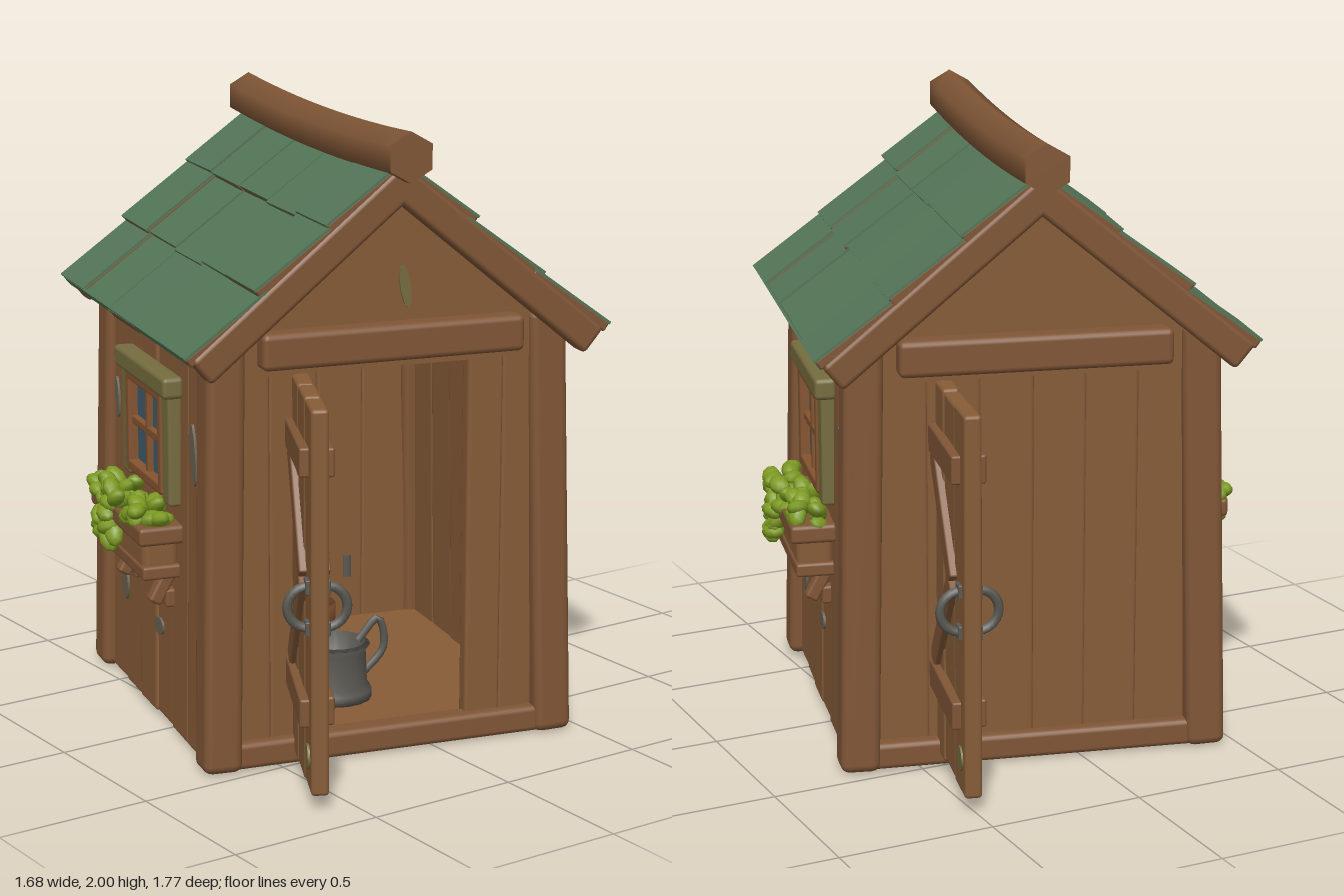
import * as THREE from 'three';
import { RoundedBoxGeometry } from 'three/addons/geometries/RoundedBoxGeometry.js';

const mat = (name, color, side = THREE.FrontSide) => {
  const m = new THREE.MeshStandardMaterial({ color, side });
  m.name = name;
  return m;
};
const wood = mat('plank wood', 0x875c38);
const beam = mat('beam wood', 0x805636);
const green = mat('roof green', 0x547658);
const metal = mat('dark metal', 0x5a5953, THREE.DoubleSide);
const glass = mat('window glass', 0x405c6d);
const olive = mat('faded olive paint', 0x766d3f);
const leaf = mat('leaf green', 0x7c9a22);
const worn = mat('worn grey patch', 0x6a6152);
const clay = mat('clay brown', 0x855430, THREE.DoubleSide);

let seed = 7;
const rnd = () => (seed = (seed * 16807) % 2147483647) / 2147483647;
const jit = (a) => (rnd() * 2 - 1) * a;

function add(parent, name, geo, material, x = 0, y = 0, z = 0, rx = 0, ry = 0, rz = 0) {
  const m = new THREE.Mesh(geo, material);
  m.name = name;
  m.position.set(x, y, z);
  m.rotation.set(rx, ry, rz);
  parent.add(m);
  return m;
}
function box(parent, name, material, w, h, d, x, y, z, rx = 0, ry = 0, rz = 0) {
  const r = Math.min(w, h, d) * 0.22;
  return add(parent, name, new RoundedBoxGeometry(w, h, d, 2, r), material, x, y, z, rx, ry, rz);
}
function group(parent, name, x = 0, y = 0, z = 0, ry = 0) {
  const g = new THREE.Group();
  g.name = name;
  g.position.set(x, y, z);
  g.rotation.y = ry;
  parent.add(g);
  return g;
}
// bar between two points of a plane parallel to xy
function bar(parent, name, material, a, b, w, d, z) {
  const dx = b[0] - a[0], dy = b[1] - a[1];
  box(parent, name, material, Math.hypot(dx, dy), w, d, (a[0] + b[0]) / 2, (a[1] + b[1]) / 2, z, 0, 0, Math.atan2(dy, dx));
}
// row of vertical planks facing +z
function planks(parent, name, x0, x1, n, y0, y1, z, lean = 0) {
  const w = (x1 - x0) / n;
  for (let i = 0; i < n; i++)
    box(parent, name, wood, w + 0.004, y1 - y0, 0.055, x0 + (i + 0.5) * w, (y0 + y1) / 2, z + jit(0.005), lean, jit(0.015));
}
function patch(parent, material, x, y, z, w, h) {
  const g = new THREE.CylinderGeometry(0.5, 0.5, 0.008, 9).rotateX(Math.PI / 2);
  add(parent, 'paintPatch', g, material, x, y, z, 0, 0, 0.15).scale.set(w, h, 1);
}

// door hinged at its own origin, extending along +x
function door(parent, name, x, z, ry) {
  const g = group(parent, name, x, 0, z, ry);
  for (let i = 0; i < 3; i++)
    box(g, 'doorPlank', wood, 0.156, 1.2 + jit(0.012), 0.055, 0.075 + i * 0.153, 0.648, jit(0.004));
  for (const s of [-1, 1]) {
    for (const y of [0.3, 1.07]) box(g, 'doorBatten', beam, 0.38, 0.09, 0.035, 0.21, y, s * 0.036, 0, 0, jit(0.04));
    bar(g, 'doorBrace', beam, [0.05, 1.03], [0.32, 0.7], 0.07, 0.028, s * 0.034);
    bar(g, 'doorBrace', beam, [0.05, 0.35], [0.32, 0.7], 0.07, 0.028, s * 0.034);
    const h = group(g, 'handle', 0.4, 0.63, s * 0.025, s > 0 ? 0 : Math.PI);
    const arc = new THREE.TorusGeometry(0.065, 0.015, 6, 12, Math.PI).rotateZ(-Math.PI / 2).rotateY(-Math.PI / 2);
    add(h, 'handleRing', arc, metal);
    for (const y of [-0.065, 0.065]) box(h, 'handleMount', metal, 0.045, 0.045, 0.016, 0, y, 0.005);
  }
  patch(g, olive, 0.4, 0.16, 0.029, 0.07, 0.08);
  for (const y of [0.27, 1.07]) add(g, 'hinge', new THREE.CylinderGeometry(0.018, 0.018, 0.08, 8), metal, -0.005, y, 0);
}

// side wall with window, flower box and shelf, facing +z
function windowWall(parent, name, ry) {
  const g = group(parent, name, 0, 0, 0, ry);
  planks(g, 'sidePlank', -0.5, 0.5, 6, 0.01, 1.42, 0.548, -0.015);
  add(g, 'glassPane', new THREE.BoxGeometry(0.34, 0.3, 0.008), glass, 0, 0.965, 0.586);
  for (const s of [-1, 1]) {
    box(g, 'windowTrim', olive, 0.08, 0.37, 0.05, s * 0.215, 0.96, 0.59);
    box(g, 'windowFrame', clay, 0.035, 0.33, 0.05, s * 0.172, 0.965, 0.597);
    box(g, 'windowFrame', clay, 0.36, 0.035, 0.05, 0, 0.965 + s * 0.152, 0.597);
    box(g, 'shelfBracket', beam, 0.045, 0.13, 0.045, s * 0.17, 0.5, 0.615, -0.5);
    box(g, 'shelfBracketFoot', beam, 0.045, 0.06, 0.04, s * 0.17, 0.455, 0.59);
  }
  box(g, 'muntin', clay, 0.028, 0.3, 0.03, 0, 0.965, 0.594);
  box(g, 'muntin', clay, 0.33, 0.028, 0.03, 0, 0.965, 0.594);
  box(g, 'windowHead', olive, 0.54, 0.07, 0.07, 0, 1.16, 0.6);
  box(g, 'flowerBoxRim', beam, 0.56, 0.06, 0.15, 0, 0.69, 0.645);
  box(g, 'flowerBox', wood, 0.46, 0.12, 0.12, 0, 0.62, 0.635);
  box(g, 'flowerBoxShelf', beam, 0.49, 0.045, 0.13, 0, 0.56, 0.635);
  // chunky leaves along the box and a trailing tuft
  const lg = new THREE.SphereGeometry(1, 8, 6);
  for (let i = 0; i < 54; i++) {
    const tuft = i >= 42;
    const x = tuft ? -0.07 + jit(0.065) : -0.255 + 0.51 * (i / 41);
    const y = tuft ? 0.7 - (i - 42) * 0.009 : 0.738 + jit(0.032);
    const z = tuft ? 0.725 + jit(0.012) : 0.668 + jit(0.055);
    add(g, 'leaf', lg, leaf, x, y, z, jit(0.5), jit(0.6), jit(1)).scale.set(0.045, 0.025, 0.032);
  }
  for (const [x, y, w, h] of [[-0.42, 0.98, 0.04, 0.14], [-0.32, 0.92, 0.05, 0.07], [0.4, 0.98, 0.05, 0.2], [-0.33, 0.36, 0.07, 0.12], [0.05, 0.32, 0.09, 0.06]])
    patch(g, worn, x, y, 0.583 - (y - 0.7) * 0.015, w, h);
}

// gable wall top, lintel and sill, facing +z
function gable(parent, name, ry) {
  const g = group(parent, name, 0, 0, 0, ry);
  const s = new THREE.Shape([[-0.54, 1.25], [0.54, 1.25], [0.54, 1.39], [0, 1.84], [-0.54, 1.39]].map((p) => new THREE.Vector2(...p)));
  add(g, 'gablePanel', new THREE.ExtrudeGeometry(s, { depth: 0.06, bevelEnabled: false }), wood, 0, 0, 0.51);
  box(g, 'lintel', beam, 0.86, 0.115, 0.09, 0, 1.335, 0.59);
  box(g, 'sillBeam', beam, 1.1, 0.085, 0.08, 0, 0.05, 0.565);
  return g;
}

// one slope of shingles, descending towards +x
function roofSlope(parent, name, ry) {
  const g = group(group(parent, name, 0, 1.89, 0, ry), 'slope');
  g.rotation.z = -0.69;
  box(g, 'roofDeck', beam, 0.85, 0.03, 1.33, 0.425, -0.053, 0);
  for (const s of [-1, 1]) box(g, 'bargeBoard', beam, 0.87, 0.1, 0.075, 0.435, -0.044, s * 0.65);
  for (let i = 0; i < 5; i++) {
    const z = (i - 2) * 0.273;
    const sag = 0.016 * (1 - (z / 0.55) ** 2);
    for (let k = 0; k < 3; k++) {
      // wooden shingle with a painted top face
      const t = group(g, 'shingle', 0.143 + k * 0.287 + jit(0.006), 0.002 - sag + jit(0.004), z);
      t.rotation.set(jit(0.02), jit(0.008), 0.06);
      box(t, 'shingleBoard', beam, 0.32, 0.036, 0.271, 0, 0, 0);
      add(t, 'shinglePaint', new THREE.BoxGeometry(0.322, 0.009, 0.27), green, 0, 0.0165, 0);
    }
  }
  // painted lower edge of the eave
  add(g, 'eavePaint', new THREE.BoxGeometry(0.009, 0.035, 1.28), green, 0.875, 0.01, 0);
}

function pot(parent, x, y, z, r, h) {
  const p = [[0, 0], [r * 0.75, 0], [r * 0.9, h * 0.75], [r * 1.05, h * 0.75], [r * 1.05, h], [r * 0.85, h], [r * 0.7, h * 0.3], [0, h * 0.3]];
  add(parent, 'pot', new THREE.LatheGeometry(p.map((q) => new THREE.Vector2(...q)), 14), clay, x, y, z);
}

export function createModel() {
  const root = new THREE.Group();
  root.name = 'gardenShed';
  const shed = group(root, 'shed', 0, 0, 0, -0.245);

  // base, corner posts and walls
  box(shed, 'floor', wood, 1.13, 0.08, 1.13, 0, 0.042, 0);
  for (const sx of [-1, 1])
    for (const sz of [-1, 1])
      box(shed, 'cornerPost', beam, 0.125, 1.39, 0.125, sx * 0.545, 0.7, sz * 0.545, -sz * 0.022, 0, sx * 0.022);
  windowWall(shed, 'rightWall', Math.PI / 2);
  windowWall(shed, 'leftWall', -Math.PI / 2);
  patch(gable(shed, 'frontGable', 0), olive, 0.05, 1.5, 0.573, 0.035, 0.14);
  gable(shed, 'backGable', Math.PI);
  planks(shed, 'frontPlank', -0.5, -0.28, 2, 0.06, 1.33, 0.54);
  planks(shed, 'frontPlank', 0.27, 0.5, 2, 0.06, 1.33, 0.54);
  planks(shed, 'backPlank', -0.5, 0.5, 6, 0.06, 1.33, -0.54);

  // doors standing open
  door(shed, 'frontDoor', -0.28, 0.55, -(Math.PI / 2 + 0.235));
  door(shed, 'backDoor', 0.277, -0.52, Math.PI / 2);

  // roof
  roofSlope(shed, 'rightRoof', 0);
  roofSlope(shed, 'leftRoof', Math.PI);
  const ridge = new THREE.CylinderGeometry(0.078, 0.078, 1.48, 6, 12).rotateX(Math.PI / 2);
  const p = ridge.attributes.position;
  for (let i = 0; i < p.count; i++) p.setY(i, p.getY(i) - 0.022 * (1 - (p.getZ(i) / 0.74) ** 2));
  ridge.computeVertexNormals();
  add(shed, 'ridgeBeam', ridge, beam, 0, 1.922, 0);

  // shelves with pots
  for (const y of [0.89, 0.44]) {
    box(shed, 'shelf', beam, 0.36, 0.05, 0.22, -0.34, y, -0.4);
    for (const x of [-0.42, -0.21]) box(shed, 'shelfSupport', beam, 0.035, 0.13, 0.05, x, y - 0.08, -0.46, -0.4);
    pot(shed, -0.34, y + 0.022, -0.41, 0.078, 0.085);
  }

  // watering can
  const can = group(shed, 'wateringCan', -0.06, 0.085, 0.26);
  const body = [[0, 0], [0.12, 0], [0.12, 0.03], [0.105, 0.05], [0.1, 0.16], [0.115, 0.18], [0.1, 0.19], [0.09, 0.06], [0, 0.06]];
  add(can, 'canBody', new THREE.LatheGeometry(body.map((q) => new THREE.Vector2(...q)), 16), metal);
  const spout = new THREE.CatmullRomCurve3([[-0.08, 0.05, 0], [-0.12, 0.11, 0], [-0.15, 0.17, 0]].map((q) => new THREE.Vector3(...q)));
  add(can, 'canSpout', new THREE.TubeGeometry(spout, 8, 0.022, 8), metal);
  add(can, 'canRose', new THREE.CylinderGeometry(0.075, 0.025, 0.07, 12), metal, -0.17, 0.2, 0, 0, 0, 0.75);
  const grip = new THREE.CatmullRomCurve3([[0.09, 0.06, 0], [0.17, 0.15, 0], [0.15, 0.25, 0], [0.08, 0.18, 0]].map((q) => new THREE.Vector3(...q)));
  add(can, 'canHandle', new THREE.TubeGeometry(grip, 14, 0.013, 7), metal);
  pot(shed, -0.06, 0.085, 0.0, 0.09, 0.24);

  // shovel leaning on the left wall
  const shovel = group(shed, 'shovel', -0.28, 0.09, 0.25);
  shovel.rotation.set(-0.1, 1.1, 0.05);
  add(shovel, 'shovelShaft', new THREE.CylinderGeometry(0.026, 0.03, 0.7, 10), wood, 0, 0.6, 0);
  box(shovel, 'shovelGrip', wood, 0.1, 0.045, 0.045, 0, 0.93, 0);
  const b = new THREE.Shape();
  b.moveTo(-0.1, 0.32);
  b.lineTo(0.1, 0.32);
  b.lineTo(0.1, 0.12);
  b.quadraticCurveTo(0.07, 0.03, 0, 0);
  b.quadraticCurveTo(-0.07, 0.03, -0.1, 0.12);
  b.closePath();
  add(shovel, 'shovelBlade', new THREE.ExtrudeGeometry(b, { depth: 0.018, bevelEnabled: false }), metal, 0, 0, -0.009);
  return root;
}
